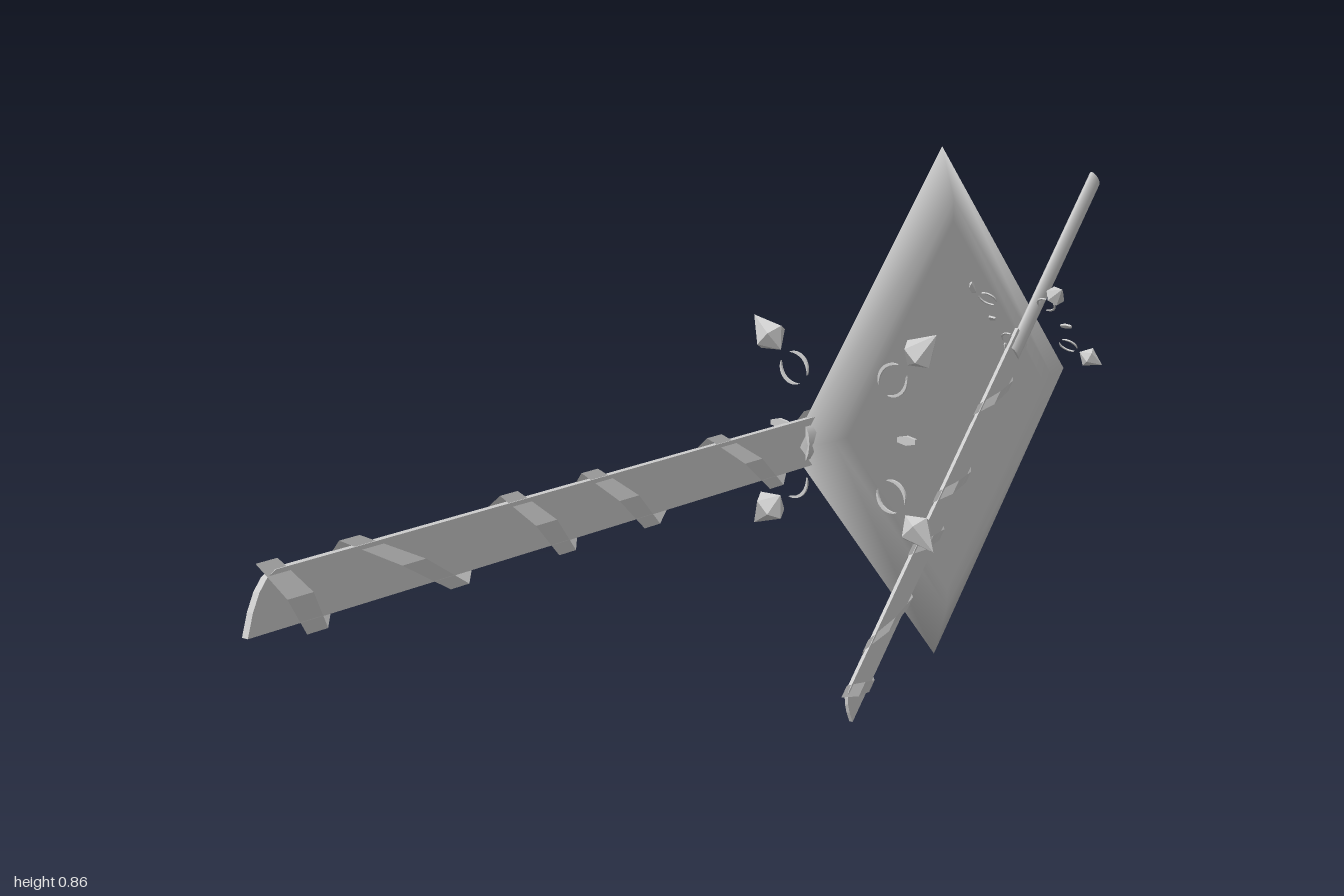
import * as THREE from 'three';

const smooth = new THREE.MeshStandardMaterial({ color: 0xcccccc });
const flat = new THREE.MeshStandardMaterial({ color: 0xcccccc, flatShading: true, side: THREE.DoubleSide });

function add(parent, name, geometry, material = flat) {
  const mesh = new THREE.Mesh(geometry, material);
  mesh.name = name;
  parent.add(mesh);
  return mesh;
}

// Square plate standing on its corner, with a bevel running to a sharp rim
function plateGeometry() {
  const t = 0.024;
  const profile = [[0, -t], [0.31, -t], [0.345, -t], [0.43, 0], [0.345, t], [0.31, t], [0, t]];
  const g = new THREE.LatheGeometry(profile.map(p => new THREE.Vector2(...p)), 4);
  return g.rotateX(Math.PI / 2);
}

// Thin blade with a slanted, slightly rounded tip
function bladeGeometry() {
  const s = new THREE.Shape();
  s.moveTo(-1.28, -0.037);
  s.lineTo(-0.05, -0.037);
  s.lineTo(-0.05, 0.038);
  s.lineTo(-1.23, 0.038);
  s.quadraticCurveTo(-1.262, 0.03, -1.28, -0.037);
  return new THREE.ExtrudeGeometry(s, { depth: 0.01, bevelEnabled: false, curveSegments: 4 }).translate(0, 0, -0.005);
}

// Angular ribbon winding round the blade: down the front, up the back
function ribbonGeometry() {
  const turns = [-1.24, -1.16, -1.10, -0.90, -0.80, -0.68, -0.63, -0.49, -0.34, -0.18, -0.09];
  const rows = [];
  turns.forEach((x, i) => {
    const atTop = i % 2 === 0;
    rows.push([x, atTop ? 0.05 : -0.056, 0, 0.018]);
    if (i < turns.length - 1) {
      const bulge = atTop ? 0.014 : i === 3 ? -0.03 : -0.016;
      rows.push([(x + turns[i + 1]) / 2, 0, bulge, 0.022]);
    }
  });
  const pos = [], index = [];
  rows.forEach(([x, y, z, w], i) => {
    pos.push(x - w, y, z, x + w, y, z);
    if (i) index.push(2 * i - 2, 2 * i - 1, 2 * i, 2 * i - 1, 2 * i + 1, 2 * i);
  });
  const g = new THREE.BufferGeometry();
  g.setAttribute('position', new THREE.Float32BufferAttribute(pos, 3));
  g.setIndex(index);
  g.computeVertexNormals();
  return g;
}

// Pointed crescent, half of a broken ring
function crescentGeometry() {
  const s = new THREE.Shape();
  const a = 1.15, r = 0.027;
  s.absarc(0, 0, r, -a, a, false);
  s.quadraticCurveTo(r * 1.22, 0, r * Math.cos(a), -r * Math.sin(a));
  return new THREE.ExtrudeGeometry(s, { depth: 0.004, bevelEnabled: false, curveSegments: 8 }).translate(0, 0, -0.002);
}

function createStaff(name) {
  const staff = new THREE.Group();
  staff.name = name;
  add(staff, 'blade', bladeGeometry());
  add(staff, 'ribbon', ribbonGeometry());

  const handle = new THREE.CylinderGeometry(1, 1, 0.63, 12).rotateZ(Math.PI / 2);
  add(staff, 'handle', handle.scale(1, 0.03, 0.012).translate(0.205, 0, 0), smooth);

  // Crystals and broken rings on the four diagonals around the shaft
  const crystal = new THREE.LatheGeometry(
    [[0, 0.168], [0.028, 0.195], [0, 0.242]].map(p => new THREE.Vector2(...p)), 6);
  const crescent = crescentGeometry();
  for (let i = 0; i < 4; i++) {
    const arm = new THREE.Group();
    arm.name = 'ornamentArm';
    arm.rotation.x = Math.PI / 4 + i * Math.PI / 2;
    staff.add(arm);
    add(arm, 'crystal', crystal);
    const ring = new THREE.Group();
    ring.name = 'brokenRing';
    ring.position.y = 0.131;
    ring.rotation.y = Math.PI / 2;
    arm.add(ring);
    for (const turn of [0, Math.PI]) add(ring, 'crescent', crescent).rotation.z = turn;
  }

  // Small six-sided slivers in front of and behind the shaft
  const sliver = new THREE.CylinderGeometry(0.019, 0.019, 0.006, 6)
    .rotateZ(Math.PI / 2).rotateX(Math.PI / 2).scale(1, 0.4, 1);
  for (const side of [-1, 1]) add(staff, 'sliver', sliver).position.z = side * 0.12;
  return staff;
}

export function createModel() {
  const model = new THREE.Group();
  model.name = 'platedStaffs';
  add(model, 'plate', plateGeometry(), smooth).position.set(0.567, 0.432, -0.013);

  const longStaff = createStaff('longStaff');
  longStaff.position.set(0.28, 0.435, -0.013);

  const shortStaff = createStaff('shortStaff');
  shortStaff.scale.setScalar(0.6);
  shortStaff.rotation.z = Math.PI / 4;
  shortStaff.position.set(0.69, 0.565, 0.085);

  model.add(longStaff, shortStaff);
  return model;
}
